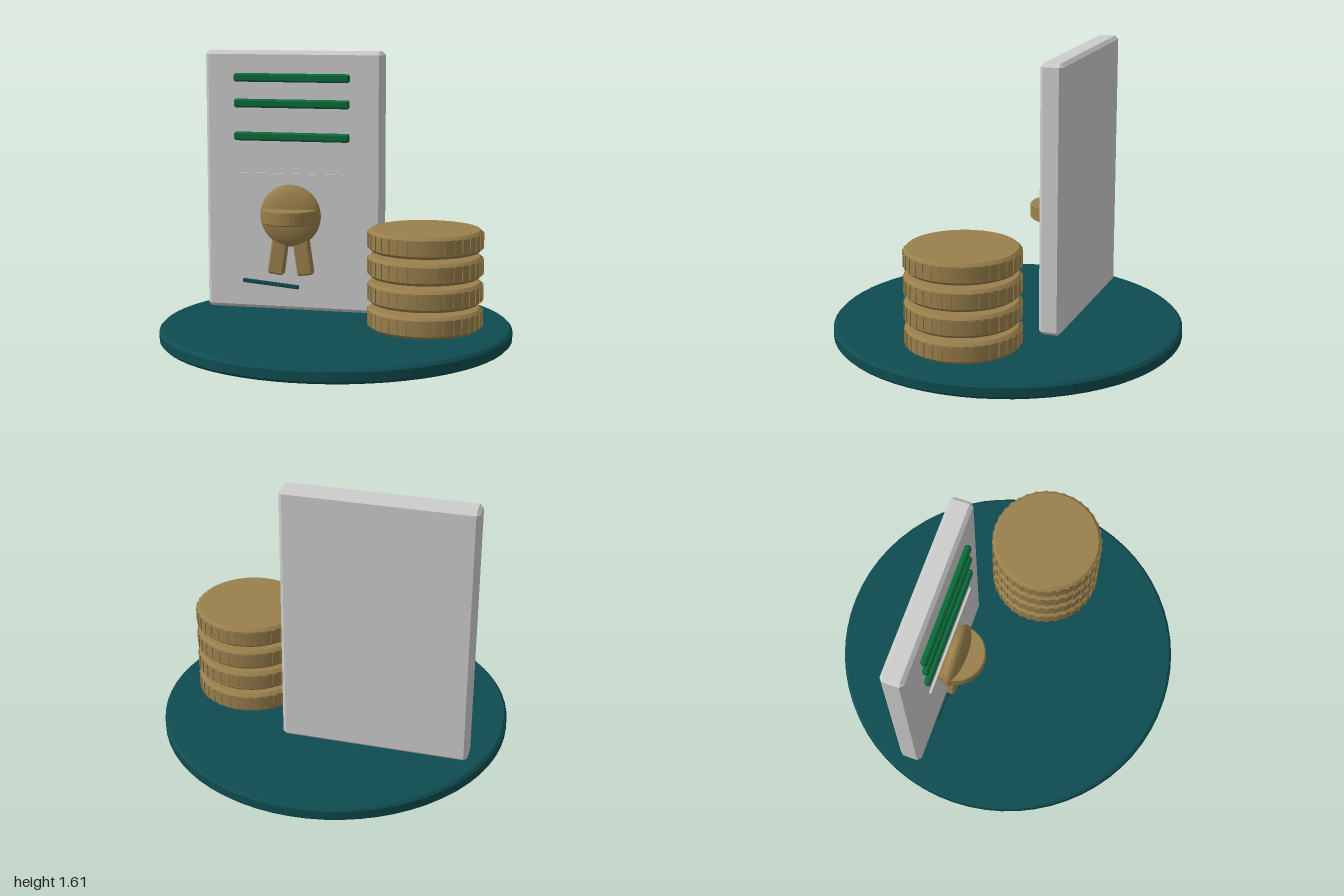
import * as THREE from 'three';
import { ConvexGeometry } from 'three/addons/geometries/ConvexGeometry.js';

const material = (name, color) => {
  const m = new THREE.MeshStandardMaterial({ color });
  m.name = name;
  return m;
};

// Box whose edges and corners are all chamfered by c
function chamferBox(w, h, d, c) {
  const points = [];
  for (const x of [-w / 2, w / 2]) for (const y of [-h / 2, h / 2]) for (const z of [-d / 2, d / 2]) {
    const [a, b, e] = [x, y, z].map((v) => v - Math.sign(v) * c);
    points.push(new THREE.Vector3(x, b, e), new THREE.Vector3(a, y, e), new THREE.Vector3(a, b, z));
  }
  return new ConvexGeometry(points);
}

// Upright disc with chamfered rims, standing on y = 0; smooth around, sharp at the rims
function chamferDisc(r, h, c, sides) {
  const rings = [[0, 0], [r - c, 0], [r, c], [r, h - c], [r - c, h], [0, h]];
  const profile = rings.flatMap(([x, y], i) =>
    i > 0 && i < rings.length - 1 ? [new THREE.Vector2(x, y), new THREE.Vector2(x, y)] : [new THREE.Vector2(x, y)]);
  const g = new THREE.LatheGeometry(profile, sides);
  // Give each band its own slope as normal
  const normal = g.attributes.normal;
  const slopes = [[0, -1], [0, -1], [0.707, -0.707], [0.707, -0.707], [1, 0], [1, 0],
    [0.707, 0.707], [0.707, 0.707], [0, 1], [0, 1]];
  for (let i = 0; i < normal.count; i++) {
    const a = (Math.floor(i / profile.length) / sides) * Math.PI * 2;
    const [out, up] = slopes[i % profile.length];
    normal.setXYZ(i, out * Math.sin(a), up, out * Math.cos(a));
  }
  return g;
}

export function createModel() {
  const model = new THREE.Group();
  const teal = material('deep teal', 0x0f4c50);
  const grey = material('paper grey', 0xcccccc);
  const green = material('green', 0x0b6b3a);
  const gold = material('antique gold', 0x997f4c);

  const add = (name, geometry, mat, x, y, z, parent = model) => {
    const mesh = new THREE.Mesh(geometry, mat);
    mesh.name = name;
    mesh.position.set(x, y, z);
    parent.add(mesh);
    return mesh;
  };

  add('base', chamferDisc(1, 0.08, 0.015, 64), teal, 0, 0, 0);

  // Upright certificate with its text lines
  add('board', chamferBox(1.06, 1.53, 0.13, 0.02), grey, -0.318, 0.848, -0.321);
  for (const y of [1.46, 1.31, 1.117]) {
    add('textBar', chamferBox(0.69, 0.05, 0.035, 0.01), green, -0.318, y, -0.226);
  }
  add('divider', new THREE.BoxGeometry(0.65, 0.012, 0.012), grey, -0.318, 0.897, -0.226);
  const signature = add('signature', chamferBox(0.345, 0.024, 0.014, 0.004), teal, -0.448, 0.243, -0.226);
  signature.rotation.z = -0.087;

  // Seal: flattened ball, horizontal band and two ribbon tails
  const seal = new THREE.Group();
  seal.name = 'seal';
  seal.position.set(-0.318, 0.66, -0.196);
  model.add(seal);
  const ball = add('sealBall', new THREE.SphereGeometry(0.182, 48, 32), gold, 0, 0, 0, seal);
  ball.scale.z = 0.35;
  add('sealBand', chamferDisc(0.168, 0.085, 0.006, 48), gold, 0, -0.042, -0.004, seal);
  for (const side of [-1, 1]) {
    const tail = add('ribbonTail', chamferBox(0.095, 0.27, 0.055, 0.01), gold, side * 0.072, -0.217, -0.008, seal);
    tail.rotation.z = side * 0.14;
  }

  // Stack of coins with raised ridges around the rim
  const coinBody = chamferDisc(0.318, 0.118, 0.016, 48);
  const ridge = new THREE.BoxGeometry(0.022, 0.082, 0.014);
  const ridges = 36;
  for (let i = 0; i < 4; i++) {
    const coin = new THREE.Group();
    coin.name = 'coin';
    coin.position.set(0.523, 0.104 + i * 0.145, 0.062);
    model.add(coin);
    add('coinBody', coinBody, gold, 0, 0, 0, coin);
    for (let k = 0; k < ridges; k++) {
      const a = (k / ridges) * Math.PI * 2;
      const m = add('coinRidge', ridge, gold, Math.sin(a) * 0.316, 0.059, Math.cos(a) * 0.316, coin);
      m.rotation.y = a;
    }
  }
  return model;
}
